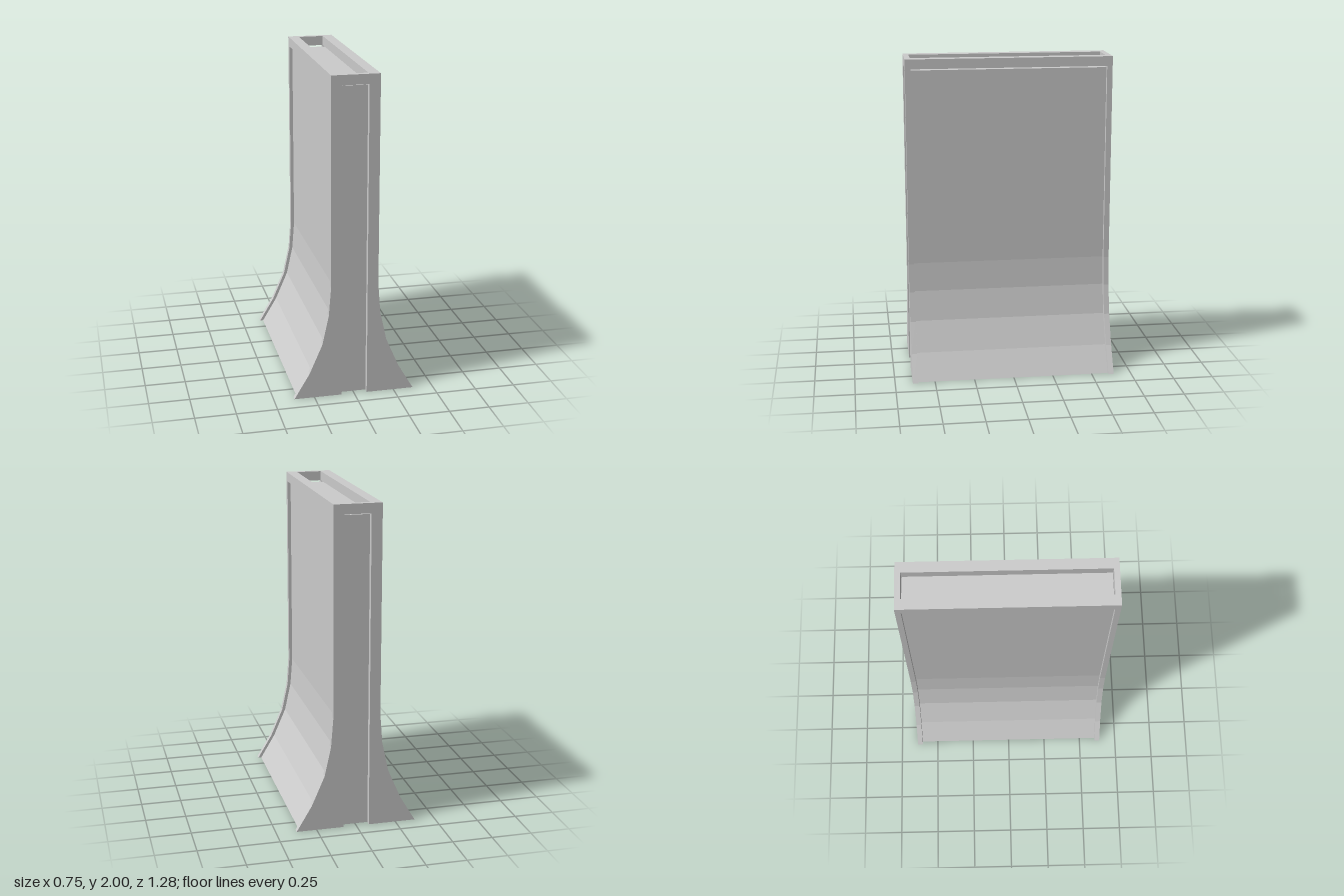
import * as THREE from 'three';

const HALF_LEN = 0.64;   // half length along z
const PLATE = 0.034;     // end plate thickness
const SLOT = 0.08;       // half width of the slots
const BAR_Y = 1.94;      // underside of the top rim

// Flared half outline, bottom to top
const FLARE = [[0.375, 0], [0.28, 0.16], [0.2, 0.345], [0.16, 0.53], [0.146, 0.71]];

const half = (inset, top) => [...FLARE, [0.146, top]].map(
  ([x, y]) => new THREE.Vector2(x - inset, y));

const mirrored = pts => pts.map(p => new THREE.Vector2(-p.x, p.y)).reverse();

function extrude(points, depth, zCentre) {
  const geo = new THREE.ExtrudeGeometry(new THREE.Shape(points), { depth, bevelEnabled: false });
  return geo.translate(0, 0, zCentre - depth / 2);
}

// Removes the triangles lying on the ground, leaving the shell open below
function openBottom(geo) {
  const p = geo.attributes.position;
  const kept = [];
  for (let i = 0; i < p.count; i += 3) {
    if ([0, 1, 2].every(k => Math.abs(p.getY(i + k)) < 1e-5)) continue;
    for (let k = 0; k < 3; k++) kept.push(p.getX(i + k), p.getY(i + k), p.getZ(i + k));
  }
  const out = new THREE.BufferGeometry();
  out.setAttribute('position', new THREE.Float32BufferAttribute(kept, 3));
  out.computeVertexNormals();
  return out;
}

export function createModel() {
  const group = new THREE.Group();
  const solid = new THREE.MeshStandardMaterial({ color: 0xcccccc, flatShading: true });
  const shell = new THREE.MeshStandardMaterial({
    color: 0xcccccc, flatShading: true, side: THREE.DoubleSide });
  const add = (name, geo, mat = solid) => {
    const mesh = new THREE.Mesh(geo, mat);
    mesh.name = name;
    group.add(mesh);
  };

  // Hollow inner body, set back from the frame and open underneath
  const side = half(0.02, 1.93);
  add('innerBody', openBottom(extrude([...side, ...mirrored(side)], 1.21, 0)), shell);

  // Flared end plates with a tall slot open at the ground
  const outer = half(0, 2);
  const slot = [[-SLOT, 0], [-SLOT, BAR_Y], [SLOT, BAR_Y], [SLOT, 0]].map(
    ([x, y]) => new THREE.Vector2(x, y));
  const outline = [...outer, ...mirrored(outer), ...slot];
  for (const s of [1, -1]) {
    add(s > 0 ? 'frontEndPlate' : 'backEndPlate',
      extrude(outline, PLATE, s * (HALF_LEN - PLATE / 2)));
  }

  // Top rim bars joining the end plates
  const barW = 0.146 - SLOT;
  for (const s of [1, -1]) {
    const bar = new THREE.BoxGeometry(barW, 2 - BAR_Y, 2 * (HALF_LEN - PLATE));
    bar.translate(s * (SLOT + barW / 2), (2 + BAR_Y) / 2, 0);
    add(s > 0 ? 'leftTopBar' : 'rightTopBar', bar);
  }
  return group;
}
